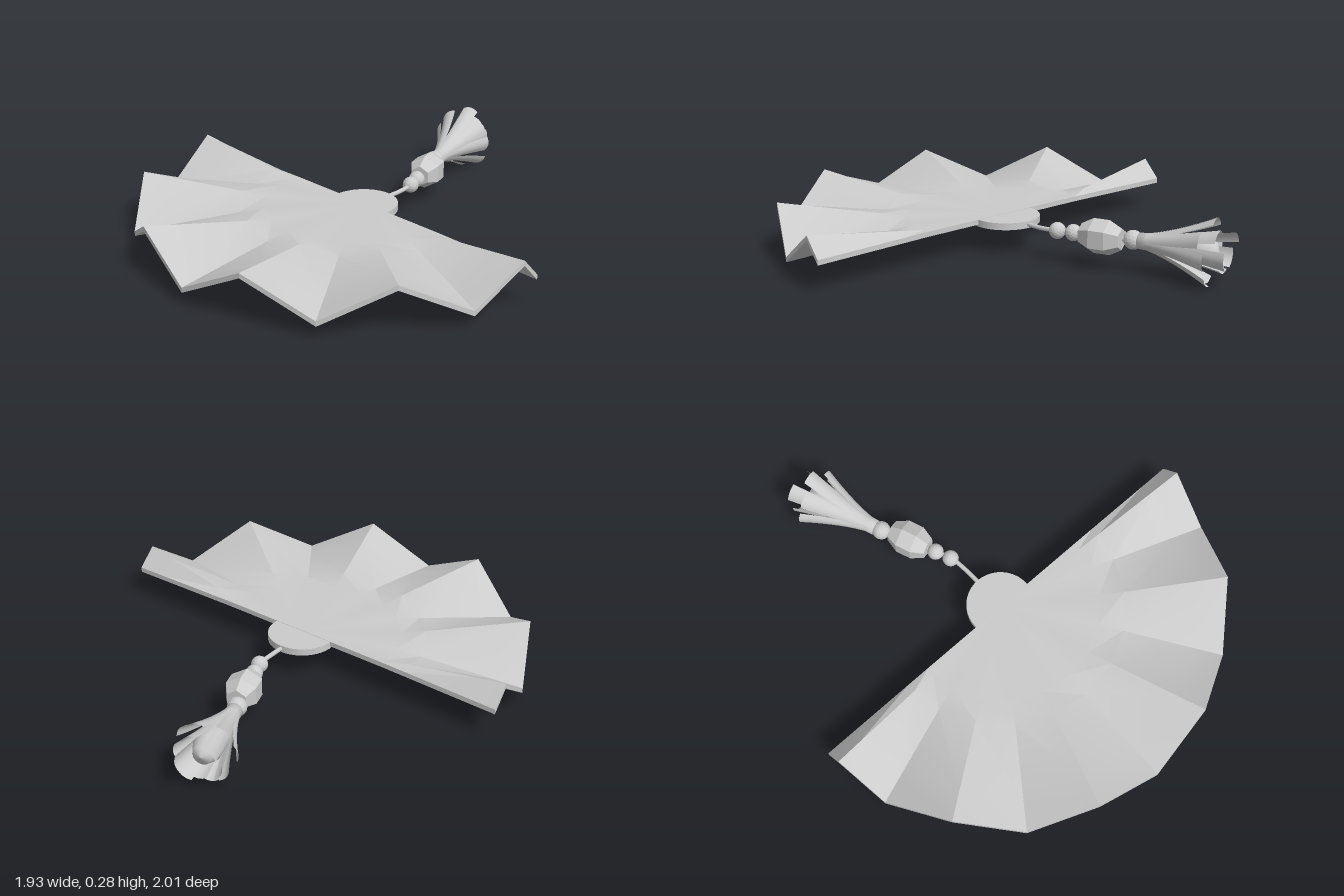
import * as THREE from 'three';
import { toCreasedNormals } from 'three/addons/utils/BufferGeometryUtils.js';

const mat = new THREE.MeshStandardMaterial({ color: 0xcccccc });
const flat = new THREE.MeshStandardMaterial({ color: 0xcccccc, flatShading: true });
const thin = new THREE.MeshStandardMaterial({ color: 0xcccccc, side: THREE.DoubleSide });
const FAN_Z = 0.03, CORD_Y = 0.135;

function add(parent, name, geometry, material, x = 0, y = 0, z = 0) {
  const mesh = new THREE.Mesh(geometry, material);
  mesh.name = name;
  mesh.position.set(x, y, z);
  parent.add(mesh);
  return mesh;
}

// Pleated half disc: flat in the middle, folds growing towards the rim
function pleatedLeaf() {
  const half = [[18, 1], [36, -1], [54, 1], [72, -1], [85.5, 1], [90, -0.1]];
  const folds = [...half.map(([a, s]) => [-a, s]).reverse(), [0, -1], ...half];
  const rings = [0, 0.42, 0.53, 0.84, 0.967];
  const last = rings.length - 1, pos = [];
  const point = (f, k, drop) => {
    const [deg, s] = folds[f], r = rings[k], a = THREE.MathUtils.degToRad(deg);
    const fold = Math.max(0, (r - 0.42) / (0.967 - 0.42));
    return [r * Math.sin(a), 0.146 + 0.075 * s * fold - drop, FAN_Z + r * Math.cos(a)];
  };
  const quad = (a, b, c, d) => pos.push(...a, ...b, ...c, ...a, ...c, ...d);
  const T = (f, k) => point(f, k, 0), B = (f, k) => point(f, k, 0.022);
  const end = folds.length - 1;
  for (let f = 0; f < end; f++) {
    for (let k = 0; k < last; k++) {
      if (k === 0) {
        pos.push(...T(f, 0), ...T(f, 1), ...T(f + 1, 1));
        pos.push(...B(f, 0), ...B(f + 1, 1), ...B(f, 1));
      } else {
        quad(T(f, k), T(f, k + 1), T(f + 1, k + 1), T(f + 1, k));
        quad(B(f, k), B(f + 1, k), B(f + 1, k + 1), B(f, k + 1));
      }
    }
    quad(T(f, last), B(f, last), B(f + 1, last), T(f + 1, last));
  }
  // straight back edge
  for (let k = 0; k < last; k++) {
    quad(T(end, k + 1), B(end, k + 1), B(end, k), T(end, k));
    quad(T(0, k), B(0, k), B(0, k + 1), T(0, k + 1));
  }
  const g = new THREE.BufferGeometry();
  g.setAttribute('position', new THREE.Float32BufferAttribute(pos, 3));
  return toCreasedNormals(g, 0.3);
}

// Cupped strand running along +z, flaring away from the axis
function strand(length, flare, width) {
  const g = new THREE.PlaneGeometry(1, 1, 6, 8);
  const p = g.attributes.position;
  for (let i = 0; i < p.count; i++) {
    const u = p.getX(i) * 2, t = p.getY(i) + 0.5;
    const w = 0.016 + (width - 0.016) * t;
    const r = 0.03 + flare * Math.pow(t, 1.4) - 0.35 * w * u * u;
    p.setXYZ(i, u * w, r, length * t);
  }
  g.computeVertexNormals();
  return g;
}

export function createModel() {
  const model = new THREE.Group();
  model.name = 'foldingFan';

  add(model, 'fanLeaf', pleatedLeaf(), mat);
  const hub = new THREE.CylinderGeometry(0.147, 0.147, 0.03, 40);
  add(model, 'hub', toCreasedNormals(hub, 0.6), mat, 0, 0.13, 0.022);

  // Cord threaded through the beads
  const cord = new THREE.CatmullRomCurve3([
    [0, 0.13, -0.1], [-0.003, 0.13, -0.2], [-0.015, CORD_Y, -0.285], [-0.045, CORD_Y, -0.35],
    [-0.1, CORD_Y, -0.47], [-0.165, CORD_Y, -0.64],
  ].map((p) => new THREE.Vector3(...p)));
  add(model, 'cord', new THREE.TubeGeometry(cord, 24, 0.01, 8), mat);

  // Round beads
  [[-0.017, -0.283, 0.036], [-0.045, -0.35, 0.036], [-0.155, -0.585, 0.041]].forEach(([x, z, r]) =>
    add(model, 'roundBead', new THREE.IcosahedronGeometry(r, 2), flat, x, CORD_Y, z));

  // Faceted barrel bead
  const profile = [[0, -0.09], [0.046, -0.09], [0.075, -0.035], [0.075, 0.035], [0.046, 0.09], [0, 0.09]];
  const barrel = new THREE.LatheGeometry(profile.map((p) => new THREE.Vector2(...p)), 6);
  barrel.rotateX(Math.PI / 2);
  add(model, 'barrelBead', barrel, flat, -0.091, CORD_Y, -0.468).rotation.y = Math.PI + 0.36;

  // Tassel: core plus an inner and an outer ring of flaring strands
  const tassel = new THREE.Group();
  tassel.name = 'tassel';
  tassel.position.set(-0.165, CORD_Y, -0.61);
  tassel.rotation.y = Math.PI + 0.33;
  model.add(tassel);
  const coreProfile = [[0, 0], [0.034, 0], [0.036, 0.06], [0.055, 0.2], [0.06, 0.28], [0.04, 0.33], [0, 0.345]];
  const core = new THREE.LatheGeometry(coreProfile.map((p) => new THREE.Vector2(...p)), 16);
  core.rotateX(Math.PI / 2);
  add(tassel, 'tasselCore', core, mat);
  const rings = [
    { count: 5, length: 0.375, flare: 0.06, width: 0.04, turn: 0.5 },
    { count: 8, length: 0.315, flare: 0.105, width: 0.036, turn: 0.15 },
  ];
  for (const { count, length, flare, width, turn } of rings) {
    for (let i = 0; i < count; i++) {
      const vary = Math.sin(i * 2.4 + count);
      const g = strand(length + 0.022 * vary, flare + 0.012 * Math.cos(i * 1.9), width);
      add(tassel, 'tasselStrand', g, thin).rotation.z = turn + (i / count) * Math.PI * 2;
    }
  }
  return model;
}
